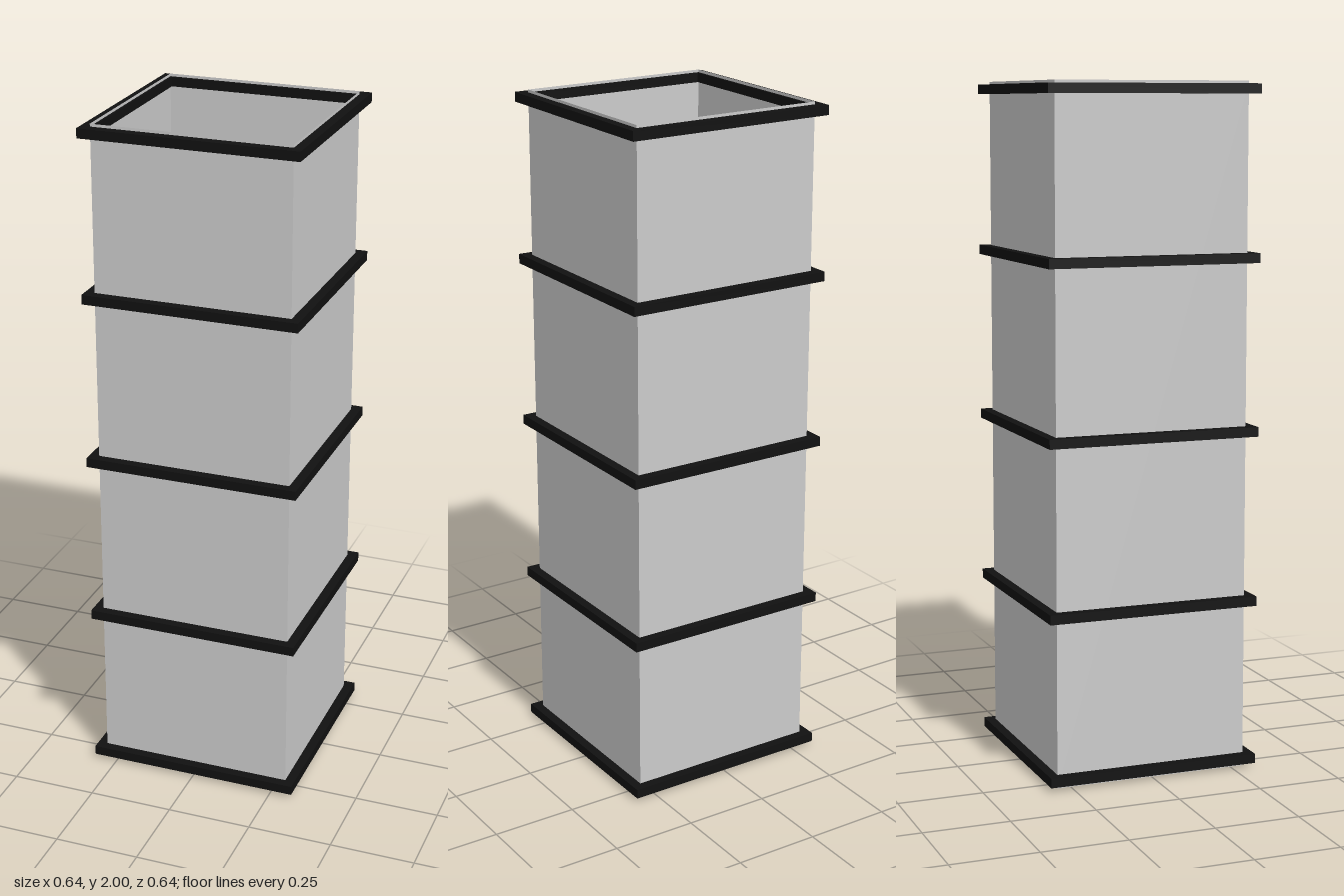
import * as THREE from 'three';

const HEIGHT = 2;
const WALL = 0.29;         // half width of the shaft walls
const FRAME_OUTER = 0.318; // half widths of the frame
const FRAME_INNER = 0.283;
const FRAME_HEIGHT = 0.028;

function trace(path, h) {
  path.moveTo(-h, -h);
  path.lineTo(h, -h);
  path.lineTo(h, h);
  path.lineTo(-h, h);
  path.closePath();
  return path;
}

export function createModel() {
  const model = new THREE.Group();
  model.name = 'squareShaft';

  const wallMaterial = new THREE.MeshStandardMaterial({ color: 0xcccccc, side: THREE.DoubleSide });
  const frameMaterial = new THREE.MeshStandardMaterial({ color: 0x111111 });

  // Four thin walls, open at top and bottom
  const wallGeometry = new THREE.PlaneGeometry(WALL * 2, HEIGHT);
  wallGeometry.translate(0, HEIGHT / 2, WALL);
  ['frontWall', 'leftWall', 'backWall', 'rightWall'].forEach((name, i) => {
    const wall = new THREE.Mesh(wallGeometry, wallMaterial);
    wall.name = name;
    wall.rotation.y = i * Math.PI / 2;
    model.add(wall);
  });

  // Square frames that grip the walls from both sides
  const ring = trace(new THREE.Shape(), FRAME_OUTER);
  ring.holes.push(trace(new THREE.Path(), FRAME_INNER));
  const frameGeometry = new THREE.ExtrudeGeometry(ring, { depth: FRAME_HEIGHT, bevelEnabled: false });
  frameGeometry.translate(0, 0, -FRAME_HEIGHT / 2);
  frameGeometry.rotateX(-Math.PI / 2);
  [0.026, 0.502, 1.002, 1.502, 1.978].forEach((y, i) => {
    const frame = new THREE.Mesh(frameGeometry, frameMaterial);
    frame.name = `frame${i + 1}`;
    frame.position.y = y;
    model.add(frame);
  });

  return model;
}
